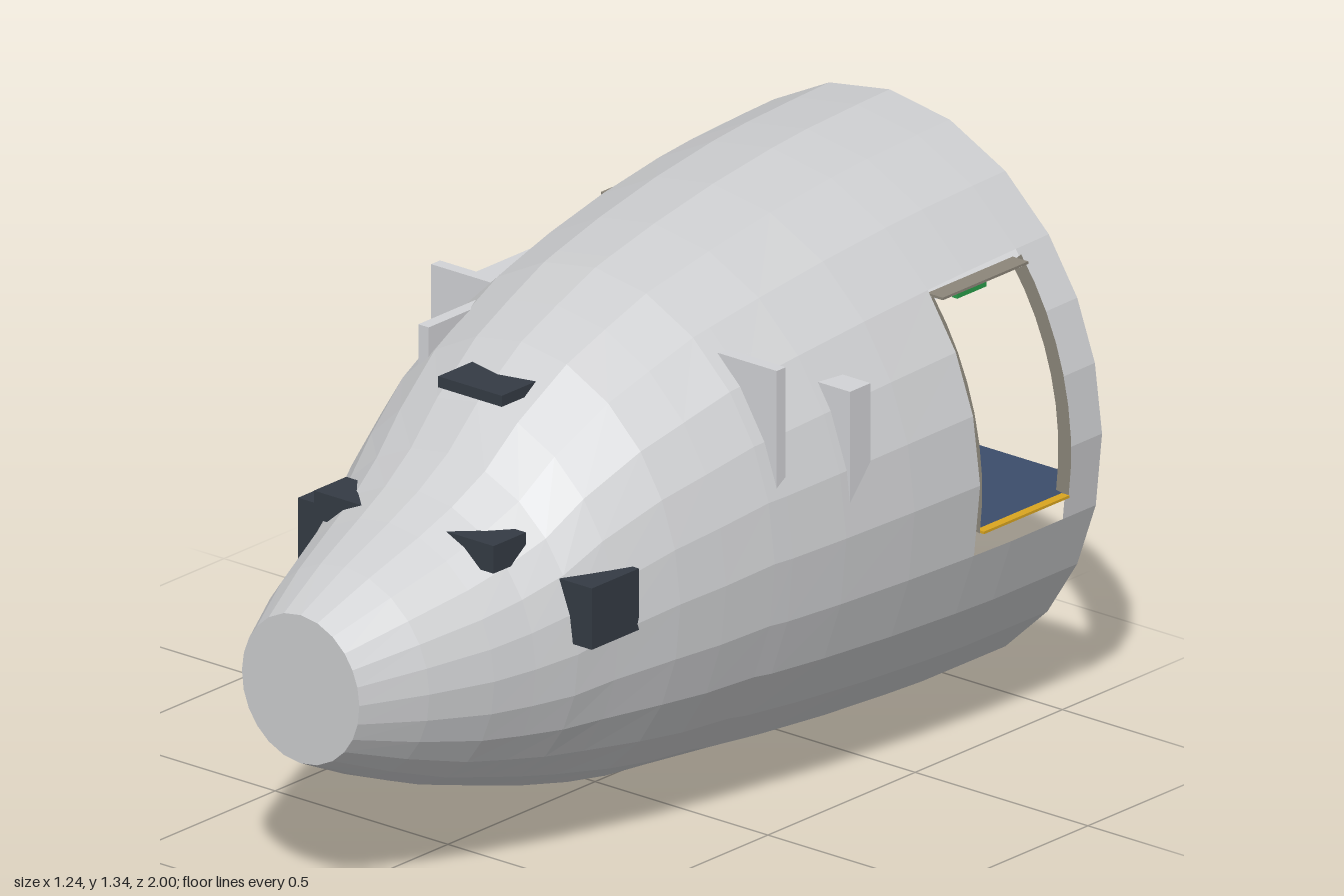
import * as THREE from 'three';

const mat = (name, color, extra = {}) =>
  Object.assign(new THREE.MeshStandardMaterial({ color, ...extra }), { name });

// Hull stations: z, top y, bottom y, half width, lowest allowed y (flat belly)
const stations = [
  [1, 0.695, 0.345, 0.17, 0], [0.85, 0.765, 0.275, 0.245, 0], [0.7, 0.825, 0.215, 0.305, 0],
  [0.6, 0.87, 0.185, 0.34, 0], [0.5, 0.93, 0.155, 0.378, 0], [0.4, 1.02, 0.125, 0.41, 0],
  [0.25, 1.12, 0.09, 0.46, 0], [0.13, 1.17, 0.07, 0.49, 0], [0, 1.22, 0.06, 0.52, 0.07],
  [-0.05, 1.232, 0.05, 0.53, 0.085], [-0.2, 1.265, 0.035, 0.557, 0.077], [-0.4, 1.3, 0.02, 0.584, 0.066],
  [-0.6, 1.325, 0.01, 0.603, 0.055], [-0.72, 1.335, 0.005, 0.609, 0.005],
  [-0.89, 1.342, 0.005, 0.613, 0], [-1, 1.345, 0.005, 0.615, 0],
];
// Angles from the crown down one side, mirrored for the other
const half = [0, 16.5, 33, 48.5, 62, 75, 89, 104, 118, 132, 147, 163.5, 180];
const angles = [...half, ...half.slice(1, -1).reverse().map((a) => 360 - a)];
const doorTop = 3, doorBottom = 7, doorFront = -0.6, doorBack = -0.89;
const floorY = 0.57, ceilingY = 1.08;

function stationAt(z) {
  let i = 0;
  while (i < stations.length - 2 && stations[i + 1][0] > z) i++;
  const a = stations[i], b = stations[i + 1], t = (z - a[0]) / (b[0] - a[0]);
  return a.map((v, k) => v + (b[k] - v) * t);
}

function hullPoint([z, top, bottom, w, belly], deg, scale = 1) {
  const a = THREE.MathUtils.degToRad(deg), cy = (top + bottom) / 2, h = (top - bottom) / 2;
  return [Math.sin(a) * w * scale, Math.max(cy + Math.cos(a) * h * scale, belly), z];
}

function halfWidth(z, y) {
  const [, top, bottom, w] = stationAt(z);
  const k = (y - (top + bottom) / 2) / ((top - bottom) / 2);
  return w * Math.sqrt(Math.max(0, 1 - k * k)) * 0.985;
}

// Lofted skin with the two doorways left open
function hullGeometry() {
  const n = angles.length, pos = [], idx = [];
  stations.forEach((s) => angles.forEach((a) => pos.push(...hullPoint(s, a))));
  for (let r = 0; r < stations.length - 1; r++) {
    const inDoor = stations[r][0] <= doorFront && stations[r + 1][0] >= doorBack;
    for (let c = 0; c < n; c++) {
      const side = Math.min(c, n - 1 - c);
      if (inDoor && side >= doorTop && side < doorBottom) continue;
      const a = r * n + c, b = r * n + ((c + 1) % n);
      idx.push(a, a + n, b, b, a + n, b - a + a + n);
    }
  }
  const g = new THREE.BufferGeometry();
  g.setAttribute('position', new THREE.Float32BufferAttribute(pos, 3));
  g.setIndex(idx);
  g.computeVertexNormals();
  return g;
}

// Horizontal sheet trimmed to the hull
function deckGeometry(y, zFront) {
  const zs = Array.from({ length: 13 }, (_, i) => -1 + ((zFront + 1) * i) / 12);
  const pts = [
    ...zs.map((z) => new THREE.Vector2(halfWidth(z, y), -z)),
    ...zs.slice().reverse().map((z) => new THREE.Vector2(-halfWidth(z, y), -z)),
  ];
  return new THREE.ShapeGeometry(new THREE.Shape(pts)).rotateX(-Math.PI / 2).translate(0, y, 0);
}

// Curved door post lying across the skin
function postGeometry(z, side) {
  const s = stationAt(z), pts = [];
  const push = (deg, k) => {
    const [x, y] = hullPoint(s, deg, k);
    pts.push(new THREE.Vector2(x * side, y));
  };
  for (let i = 0; i <= 8; i++) push(50 + i * 6.1, 1.01);
  for (let i = 8; i >= 0; i--) push(50 + i * 6.1, 0.95);
  return new THREE.ShapeGeometry(new THREE.Shape(pts)).translate(0, 0, z);
}

export function createModel() {
  const model = new THREE.Group();
  model.name = 'aircraftNoseSection';
  const skin = mat('skin grey', 0xcbccce, { side: THREE.DoubleSide, flatShading: true });
  const panel = mat('cabin panel grey', 0xd2d3d6);
  const lining = mat('ceiling grey', 0xd4d5d7, { side: THREE.DoubleSide });
  const carpet = mat('carpet blue', 0x3c4d6b, { side: THREE.DoubleSide });
  const frame = mat('door frame taupe', 0x8c867a, { side: THREE.DoubleSide });
  const dark = mat('dark slate', 0x343b44);
  const yellow = mat('sill yellow', 0xd9a520);
  const green = mat('exit green', 0x2a9d4a);

  const add = (name, geometry, material) => {
    const m = new THREE.Mesh(geometry, material);
    m.name = name;
    model.add(m);
    return m;
  };
  // Box given by its limits on each axis
  const box = (name, material, [x0, x1], [y0, y1], [z0, z1]) =>
    add(name, new THREE.BoxGeometry(Math.abs(x1 - x0), y1 - y0, z1 - z0)
      .translate((x0 + x1) / 2, (y0 + y1) / 2, (z0 + z1) / 2), material);

  // Hull and flat nose plate
  add('hull', hullGeometry(), skin);
  const nose = new THREE.Shape(angles.map((a) => new THREE.Vector2(...hullPoint(stations[0], a).slice(0, 2))));
  add('nosePlate', new THREE.ShapeGeometry(nose).translate(0, 0, 1), skin);

  // Cabin decks
  add('cabinFloor', deckGeometry(floorY, 0.35), carpet);
  add('cabinCeiling', deckGeometry(ceilingY, -0.06), lining);

  for (const s of [1, -1]) {
    const span = (a, b) => [s * a, s * b];
    // Doorway
    add('doorPostFront', postGeometry(doorFront, s), frame);
    add('doorPostBack', postGeometry(doorBack, s), frame);
    box('doorHeader', frame, span(0.45, 0.495), [1.09, 1.096], [doorBack, doorFront]);
    box('doorSill', yellow, span(0.592, 0.614), [0.567, 0.573], [doorBack, doorFront]);
    box('exitLight', green, span(0.445, 0.46), [1.058, 1.083], [-0.79, -0.69]);
    // Bulkhead behind the flight deck
    box('bulkhead', panel, span(0.15, 0.5), [floorY, 1.093], [-0.06, -0.03]);
    // Flight deck window blocks
    box('cornerWindow', dark, span(0.12, 0.26), [0.755, 0.82], [0.54, 0.65]);
    box('sideWindow', dark, span(0.3, 0.425), [0.575, 0.72], [0.35, 0.51]);
  }
  box('overheadPanel', dark, [-0.092, 0.092], [1.04, 1.066], [0.25, 0.425]);

  // Flight deck side partition
  box('partition', panel, [-0.29, -0.26], [floorY, 1.09], [-0.03, 0.26]);

  // Galley with three dark ovens, and the closet opposite
  box('galley', panel, [0.16, 0.53], [floorY, 0.88], [-0.45, -0.22]);
  box('galleyBackWall', panel, [0.16, 0.55], [floorY, 1], [-0.29, -0.22]);
  for (let i = 0; i < 3; i++) {
    const x = 0.175 + i * 0.1;
    box('galleyOven', dark, [x, x + 0.088], [0.6, 0.83], [-0.456, -0.449]);
  }
  box('closet', panel, [-0.55, -0.13], [floorY, 1], [-0.47, -0.22]);

  // Door hinge arm by the closet side doorway
  const arm = box('hingeArm', panel, [-0.56, -0.53], [-0.033, 0.033], [-0.06, 0.06]);
  arm.position.set(0, 0.605, -0.66);
  arm.rotation.x = -0.16;
  return model;
}
